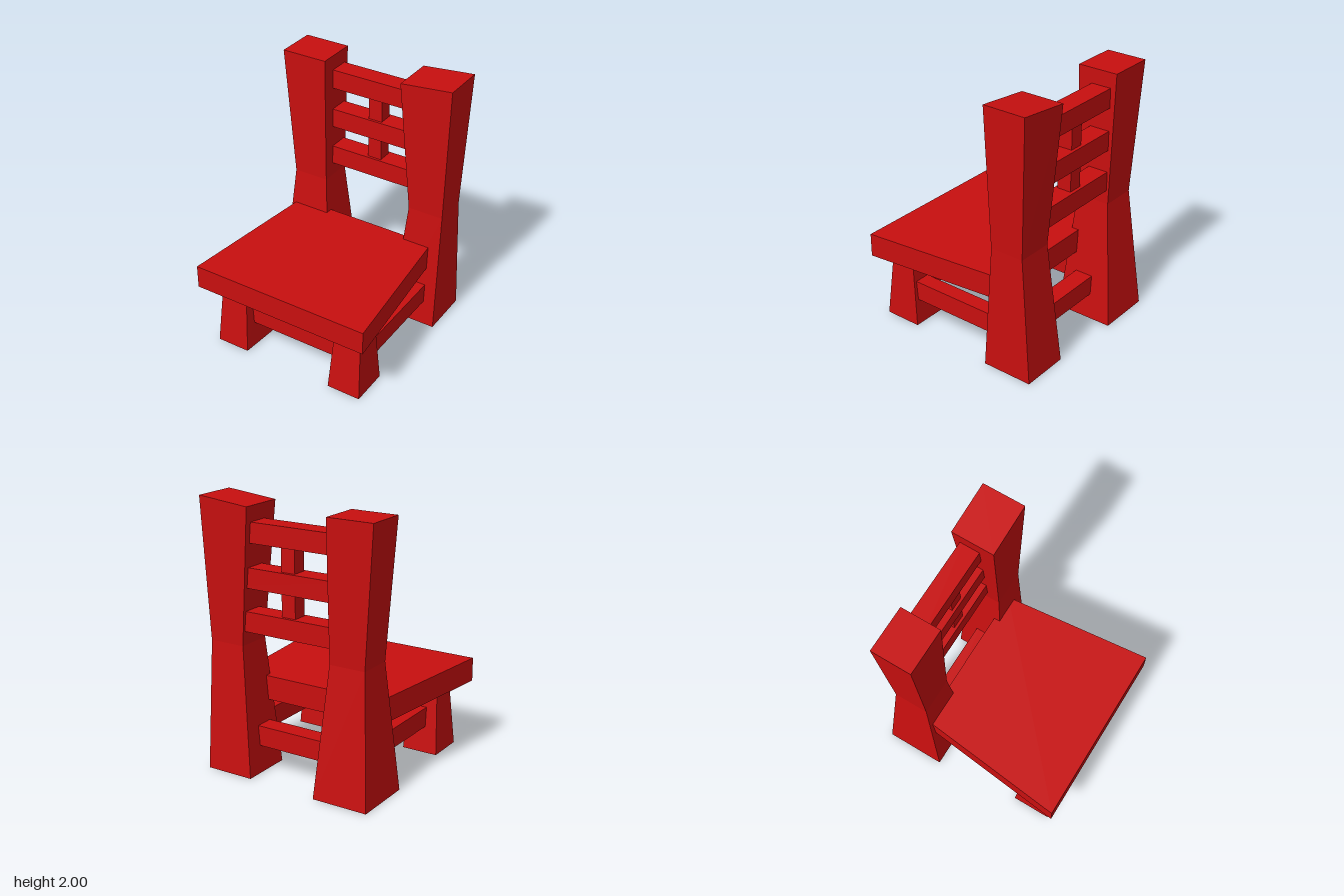
import * as THREE from 'three';

const paint = new THREE.MeshStandardMaterial({ color: 0xc80f0f, flatShading: true });

// Four-sided bar through sections { x: [min, max], z: [min, max], y: [at min x, at max x], skew }
function loft(name, sections) {
  const n = sections.length - 1;
  const geometry = new THREE.BoxGeometry(1, 1, 1, 1, n, 1).toNonIndexed();
  const p = geometry.attributes.position;
  for (let i = 0; i < p.count; i++) {
    const s = sections[Math.round((p.getY(i) + 0.5) * n)];
    const right = p.getX(i) > 0 ? 1 : 0;
    const front = p.getZ(i) > 0 ? 1 : 0;
    const skew = right && !front ? s.skew || 0 : 0;
    p.setXYZ(i, s.x[right] + skew, s.y[right], s.z[front]);
  }
  geometry.computeVertexNormals();
  const mesh = new THREE.Mesh(geometry, paint);
  mesh.name = name;
  return mesh;
}

// Plain bar between two corners
function bar(name, x, y, z) {
  return loft(name, [{ x, z, y: [y[0], y[0]] }, { x, z, y: [y[1], y[1]] }]);
}

export function createModel() {
  const chair = new THREE.Group();
  chair.name = 'chair';

  // Back posts, pinched above the seat
  chair.add(loft('rightBackPost', [
    { x: [-0.675, -0.25], z: [-0.74, -0.29], y: [0, 0] },
    { x: [-0.60, -0.325], z: [-0.64, -0.38], y: [0.96, 0.96] },
    { x: [-0.675, -0.32], z: [-0.67, -0.36], y: [1.96, 1.96] },
  ]));
  chair.add(loft('leftBackPost', [
    { x: [0.305, 0.675], z: [-0.71, -0.32], y: [0, 0] },
    { x: [0.395, 0.67], z: [-0.64, -0.38], y: [0.96, 0.96] },
    { x: [0.305, 0.705], z: [-0.68, -0.35], y: [1.96, 2] },
  ]));

  // Tapered front legs
  chair.add(loft('rightFrontLeg', [
    { x: [-0.61, -0.35], z: [0.37, 0.665], y: [0, 0], skew: 0.02 },
    { x: [-0.58, -0.375], z: [0.42, 0.61], y: [0.52, 0.52], skew: 0.015 },
  ]));
  chair.add(loft('leftFrontLeg', [
    { x: [0.36, 0.62], z: [0.375, 0.665], y: [0, 0] },
    { x: [0.39, 0.595], z: [0.42, 0.61], y: [0.52, 0.52] },
  ]));

  // Seat, narrower towards the back
  const seat = bar('seat', [-1, 1], [0.5, 0.68], [-0.41, 0.74]);
  const p = seat.geometry.attributes.position;
  for (let i = 0; i < p.count; i++) {
    const front = p.getZ(i) > 0;
    p.setX(i, p.getX(i) > 0 ? (front ? 0.69 : 0.575) : (front ? -0.71 : -0.585));
  }
  seat.geometry.computeVertexNormals();
  chair.add(seat);

  // Low rails between the legs
  const low = [0.2, 0.35];
  chair.add(bar('frontRail', [-0.45, 0.45], low, [0.44, 0.56]));
  chair.add(bar('backRail', [-0.4, 0.45], low, [-0.56, -0.42]));
  chair.add(bar('leftSideRail', [0.46, 0.58], low, [-0.45, 0.48]));
  chair.add(bar('rightSideRail', [-0.505, -0.385], low, [-0.45, 0.48]));

  // Back slats and the upright through them
  for (const y of [1.065, 1.38, 1.7]) {
    chair.add(bar('backSlat', [-0.4, 0.45], [y, y + 0.147], [-0.625, -0.47]));
  }
  chair.add(bar('backUpright', [-0.025, 0.085], [1.15, 1.75], [-0.6, -0.49]));

  return chair;
}
